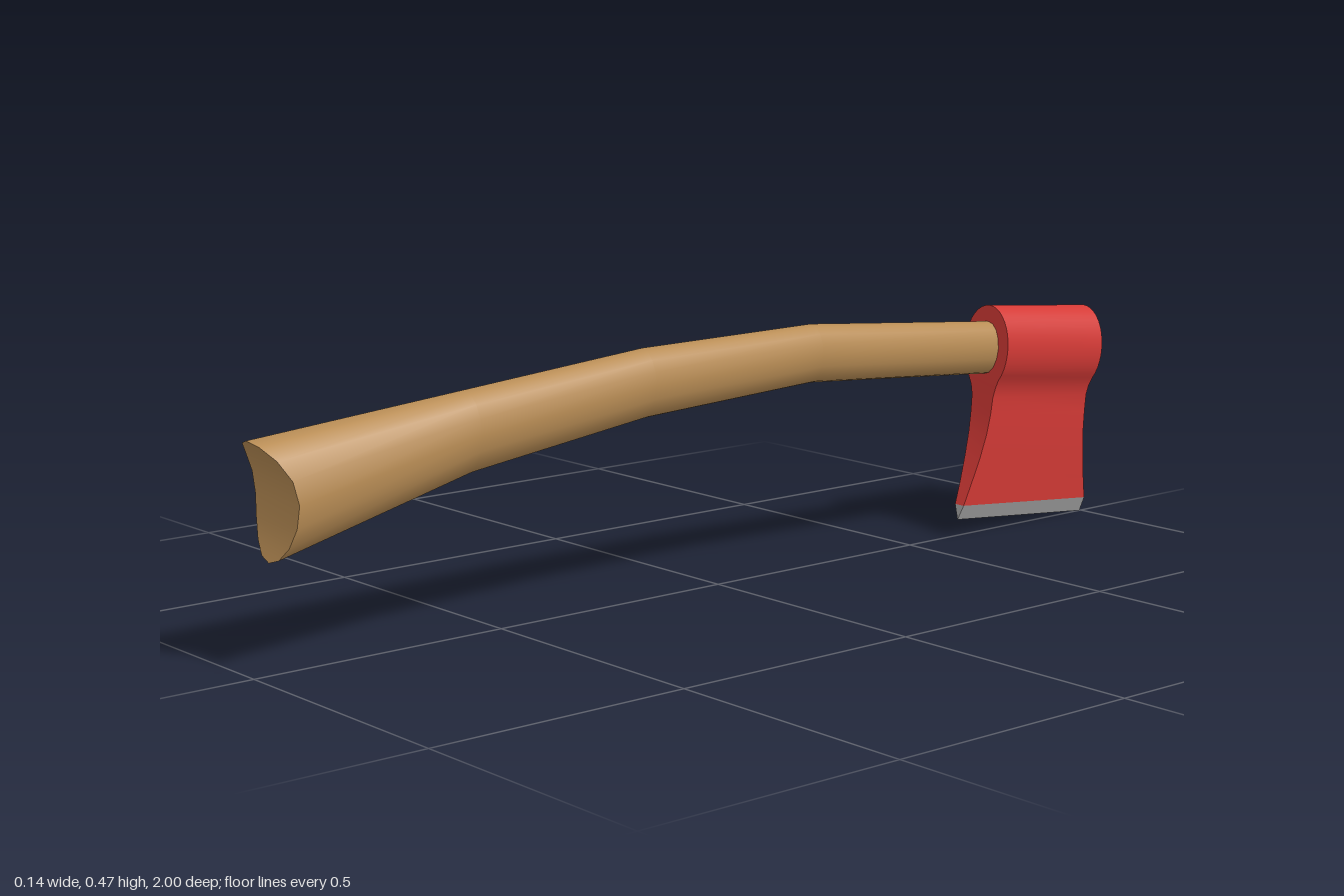
import * as THREE from 'three';
import { toCreasedNormals } from 'three/addons/utils/BufferGeometryUtils.js';

// Skin a list of rings (each clockwise seen from the first end) and close both ends
// with strips between mirrored points.
function loft(rings, crease) {
  const n = rings[0].length, pos = [];
  const tri = (a, b, c) => {
    if (new THREE.Triangle(a, b, c).getArea() > 1e-8) pos.push(...a, ...b, ...c);
  };
  for (let i = 0; i < rings.length - 1; i++) {
    for (let k = 0; k < n; k++) {
      const r = rings[i], s = rings[i + 1], m = (k + 1) % n;
      tri(r[k], r[m], s[k]);
      tri(r[m], s[m], s[k]);
    }
  }
  const first = rings[0], last = rings[rings.length - 1];
  for (let k = 0; k < n / 2; k++) {
    const l = (n - k) % n, m = n - k - 1, q = k + 1;
    tri(first[l], first[m], first[q]);
    tri(first[l], first[q], first[k]);
    tri(last[l], last[q], last[m]);
    tri(last[l], last[k], last[q]);
  }
  const geometry = new THREE.BufferGeometry();
  geometry.setAttribute('position', new THREE.Float32BufferAttribute(pos, 3));
  return toCreasedNormals(geometry, crease);
}

function makeMesh(name, geometry, color) {
  const mesh = new THREE.Mesh(geometry, new THREE.MeshStandardMaterial({ color }));
  mesh.name = name;
  return mesh;
}

// Rectangular rings stacked downwards: [y, half width, half length]
function slab(rows) {
  return loft(rows.map(([y, w, l]) => [[w, -l], [w, l], [-w, l], [-w, -l]]
    .map(([x, z]) => new THREE.Vector3(x, y, z))), 0.6);
}

export function createModel() {
  const model = new THREE.Group();
  model.name = 'axe';

  // Curved handle: [z, centre y, half height, half width]
  const stations = [
    [0.945, 0.296, 0.104, 0.068],
    [0.57, 0.362, 0.073, 0.05],
    [0.18, 0.403, 0.064, 0.042],
    [-0.23, 0.415, 0.056, 0.037],
    [-0.7, 0.378, 0.053, 0.034],
    [-1, 0.347, 0.047, 0.03],
  ];
  const sides = 16;
  const rings = stations.map(([z, y, h, w], i) => Array.from({ length: sides }, (_, k) => {
    const a = k / sides * Math.PI * 2, t = Math.cos(a);
    // the butt is scooped out, with its upper lip furthest forward
    const scoop = i === 0 ? t * t * (t > 0 ? 0.055 : 0.02) : 0;
    return new THREE.Vector3(w * Math.sin(a), y + h * t, z + scoop);
  }));
  model.add(makeMesh('handle', loft(rings, 0.7), 0xb98d55));

  // Head, tilted to follow the end of the handle
  const head = new THREE.Group();
  head.name = 'axeHead';
  head.position.set(0, 0.372, -0.846);
  head.rotation.x = -0.089;

  // Rounded eye, then a neck that flares lengthwise and thins towards the edge
  const rows = [];
  for (let i = 0; i <= 14; i++) {
    const a = i / 14 * Math.PI * 0.76;
    rows.push([-0.007 + 0.085 * Math.cos(a), 0.06 * Math.sin(a), 0.14]);
  }
  rows.push(
    [-0.085, 0.034, 0.139], [-0.105, 0.029, 0.139], [-0.14, 0.0275, 0.14],
    [-0.18, 0.025, 0.144], [-0.23, 0.021, 0.154], [-0.28, 0.016, 0.167], [-0.325, 0.012, 0.18],
  );
  head.add(makeMesh('headBody', slab(rows), 0xd43a36));

  // Ground cutting edge
  head.add(makeMesh('cuttingEdge', slab([[-0.325, 0.012, 0.18], [-0.355, 0, 0.182]]), 0xa8a8a8));
  model.add(head);
  return model;
}
